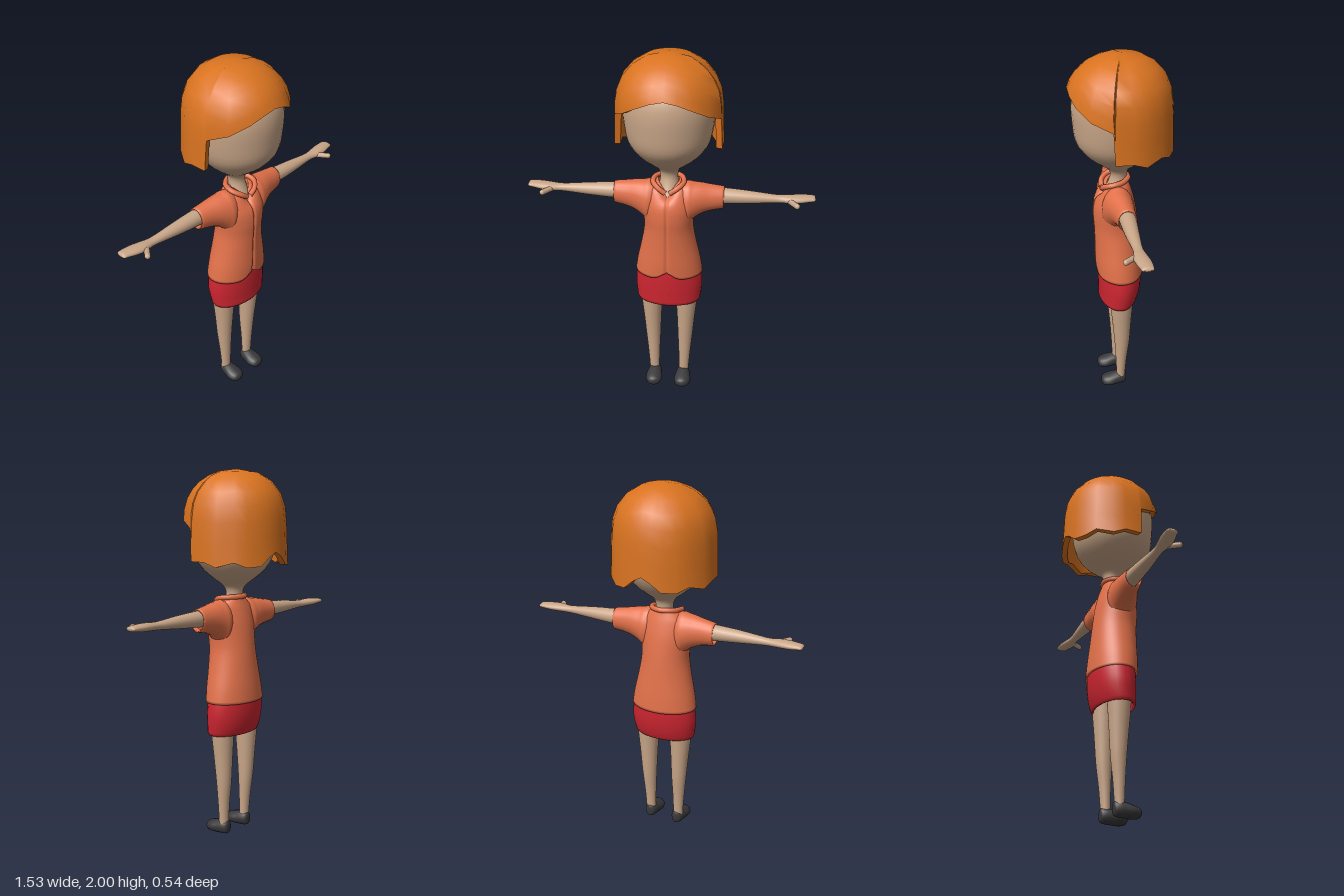
import * as THREE from 'three';
import { mergeVertices, toCreasedNormals } from 'three/addons/utils/BufferGeometryUtils.js';

const TAU = Math.PI * 2;
const paint = (color) => new THREE.MeshStandardMaterial({ color, side: THREE.DoubleSide });
const evenAngles = (n) => Array.from({ length: n }, (_, i) => (i / n) * TAU);

// Resample a few key rows into n smooth rows
function smoothRows(keys, n) {
  const curves = keys[0].map((_, c) => new THREE.SplineCurve(keys.map((k, i) => new THREE.Vector2(i, k[c]))));
  return Array.from({ length: n + 1 }, (_, i) => curves.map((c) => c.getPoint(i / n).y));
}

// Skin closed rings of [x, y, z] points; winding is corrected by signed volume
function loft(rings) {
  const n = rings[0].length, index = [];
  for (let r = 0; r < rings.length - 1; r++) {
    for (let i = 0; i < n; i++) {
      const a = r * n + i, b = r * n + ((i + 1) % n);
      index.push(a, b, b + n, a, b + n, a + n);
    }
  }
  const pts = rings.flat().map((p) => new THREE.Vector3(...p));
  const mid = pts.reduce((s, p) => s.add(p), new THREE.Vector3()).divideScalar(pts.length);
  let volume = 0;
  const cross = new THREE.Vector3();
  for (let i = 0; i < index.length; i += 3) {
    const [a, b, c] = [0, 1, 2].map((k) => pts[index[i + k]].clone().sub(mid));
    volume += a.dot(cross.crossVectors(b, c));
  }
  if (volume < 0) index.reverse();
  const geo = new THREE.BufferGeometry().setFromPoints(pts);
  geo.setIndex(index);
  const merged = mergeVertices(geo, 1e-5);
  merged.computeVertexNormals();
  return merged;
}

// Horizontal oval [y, half width, front z, back z]
const ovalY = ([y, rx, zf, zb], cx = 0, angles = evenAngles(32)) => angles.map((a) => [
  cx + Math.sin(a) * rx, y, (zf + zb) / 2 + Math.cos(a) * (zf - zb) / 2]);

// Sideways oval [x, centre y, centre z, half height, half depth]
const ovalX = ([x, cy, cz, ry, rz], s) => evenAngles(20).map((a) => [
  s * x, cy + Math.sin(a) * ry, cz + Math.cos(a) * rz]);

function shirtBody() {
  const angles = [...evenAngles(48), 0.045, TAU - 0.045].sort((a, b) => a - b);
  const rows = smoothRows([
    [0.77, 0.185, 0.145, -0.115], [0.85, 0.172, 0.148, -0.11], [0.95, 0.15, 0.148, -0.1],
    [1.05, 0.133, 0.15, -0.09], [1.13, 0.135, 0.155, -0.08], [1.2, 0.14, 0.148, -0.068],
    [1.27, 0.125, 0.12, -0.05], [1.31, 0.09, 0.095, -0.037], [1.335, 0.055, 0.08, -0.03]], 32);
  rows.unshift([0.775, 0.172, 0.132, -0.102]);
  return loft(rows.map((row) => ovalY(row, 0, angles).map(([x, y, z], i) => {
    if (Math.cos(angles[i]) <= 0) return [x, y, z];
    // hem notch, neck opening and front seam
    const notch = 0.04 * Math.exp(-((x / 0.045) ** 2)) * Math.max(0, 1 - (row[0] - 0.77) / 0.1);
    const dip = 0.06 * Math.exp(-((x / 0.04) ** 2)) * THREE.MathUtils.smoothstep(y, 1.2, 1.335);
    return [x, y + notch - dip, z - (i === 0 ? 0.012 : 0)];
  })));
}

// Bobbed hair: domed shell whose lower edge height depends on the angle from the front
function hairShell() {
  const hem = [[0, 1.835], [14, 1.82], [30, 1.785], [50, 1.735], [73, 1.695], [75, 1.53], [94, 1.53],
    [108, 1.505], [128, 1.53], [142, 1.505], [158, 1.51], [170, 1.555], [180, 1.58]];
  const edge = [...hem, ...hem.slice(1, -1).reverse().map(([a, y]) => [360 - a, y])];
  const radius = (y, a) => {
    const u = Math.max(0, (y - 1.73) / 0.27);
    const dome = 0.272 * Math.pow(Math.max(0, 1 - u ** 2.2), 1 / 2.2);
    const flare = Math.max(0, 1.73 - y) * 0.04;
    const fringe = 0.015 * Math.max(0, Math.cos(a)) * Math.min(1, (2 - y) / 0.12);
    const nape = 0.012 * Math.max(0, -Math.cos(a)) * Math.min(1, (2 - y) / 0.2);
    return dome + flare + fringe - nape;
  };
  const row = (t, thick) => edge.map(([deg, low]) => {
    const a = THREE.MathUtils.degToRad(deg), y = 2 - (2 - low) * t * t;
    const r = Math.max(0, radius(y, a) - thick);
    return [Math.sin(a) * r, y - thick * (1 - t), Math.cos(a) * r];
  });
  const steps = [0, 0.2, 0.35, 0.5, 0.62, 0.75, 0.88, 1];
  return toCreasedNormals(loft([...steps.map((t) => row(t, 0)), ...steps.slice().reverse().map((t) => row(t, 0.032))]), 0.8);
}

export function createModel() {
  const model = new THREE.Group();
  const skin = paint(0xc9a688), cloth = paint(0xe2714a), red = paint(0xcc2530);
  const hair = paint(0xd97320), dark = paint(0x38383a);
  const add = (name, geo, mat) => {
    const mesh = new THREE.Mesh(geo, mat);
    mesh.name = name;
    model.add(mesh);
  };

  // Head and neck
  add('headAndNeck', loft(smoothRows([
    [1.25, 0.06, 0.1, -0.02], [1.3, 0.052, 0.075, -0.03], [1.35, 0.046, 0.06, -0.028],
    [1.39, 0.06, 0.075, -0.04], [1.43, 0.11, 0.125, -0.09], [1.48, 0.165, 0.185, -0.15],
    [1.55, 0.21, 0.235, -0.19], [1.65, 0.23, 0.25, -0.21], [1.75, 0.235, 0.253, -0.215],
    [1.83, 0.215, 0.232, -0.2], [1.9, 0.16, 0.17, -0.15], [1.94, 0, 0.01, 0.01]], 36).map((r) => ovalY(r))), skin);
  add('hair', hairShell(), hair);

  // Shirt
  add('shirtBody', shirtBody(), cloth);
  const collarPath = new THREE.CatmullRomCurve3([
    [-0.012, 1.278, 0.105], [-0.05, 1.305, 0.1], [-0.08, 1.325, 0.06], [-0.065, 1.333, 0], [0, 1.335, -0.033],
    [0.065, 1.333, 0], [0.08, 1.325, 0.06], [0.05, 1.305, 0.1], [0.012, 1.278, 0.105],
  ].map((p) => new THREE.Vector3(...p)));
  add('collar', new THREE.TubeGeometry(collarPath, 48, 0.014, 8), cloth);

  // Skirt, hollow underneath
  const skirt = smoothRows([[0.82, 0.165, 0.125, -0.1], [0.77, 0.178, 0.13, -0.105], [0.7, 0.185, 0.131, -0.103],
    [0.64, 0.181, 0.13, -0.093], [0.6, 0.176, 0.13, -0.08]], 12);
  skirt.push([0.588, 0.17, 0.124, -0.074], [0.592, 0.158, 0.112, -0.064], [0.75, 0.155, 0.11, -0.08], [0.75, 0, 0, 0]);
  add('skirt', loft(skirt.map((r) => ovalY(r))), red);

  for (const s of [1, -1]) {
    const side = s > 0 ? 'left' : 'right';

    // Sleeve with a turned-in cuff
    const sleeve = smoothRows([[0.05, 1.2, 0.035, 0.11, 0.07], [0.1, 1.2, 0.035, 0.122, 0.085],
      [0.13, 1.212, 0.033, 0.104, 0.08], [0.17, 1.224, 0.028, 0.087, 0.07],
      [0.22, 1.229, 0.022, 0.073, 0.059], [0.29, 1.23, 0.016, 0.061, 0.05]], 20);
    sleeve.push([0.289, 1.23, 0.016, 0.052, 0.043], [0.26, 1.23, 0.016, 0.05, 0.042]);
    add(side + 'Sleeve', loft(sleeve.map((r) => ovalX(r, s))), cloth);

    // Arm and flat hand
    add(side + 'Arm', loft(smoothRows([[0.2, 1.238, 0.016, 0.046, 0.044], [0.3, 1.239, 0.016, 0.042, 0.043],
      [0.42, 1.239, 0.017, 0.034, 0.036], [0.54, 1.238, 0.016, 0.023, 0.026], [0.59, 1.238, 0.015, 0.02, 0.026],
      [0.64, 1.24, 0.016, 0.021, 0.036], [0.69, 1.242, 0.01, 0.02, 0.038], [0.735, 1.244, 0.004, 0.016, 0.033],
      [0.758, 1.244, 0.003, 0.012, 0.029], [0.765, 1.244, 0.003, 0, 0.015]], 36).map((r) => ovalX(r, s))), skin);
    const thumb = new THREE.CapsuleGeometry(0.015, 0.07, 6, 12);
    thumb.rotateX(Math.PI / 2).rotateY(s * 0.62).translate(s * 0.648, 1.236, 0.06);
    add(side + 'Thumb', thumb, skin);

    // Leg
    add(side + 'Leg', loft(smoothRows([[0.76, 0.07, 0.085, -0.06], [0.58, 0.06, 0.077, -0.047],
      [0.45, 0.05, 0.066, -0.038], [0.32, 0.042, 0.055, -0.03], [0.2, 0.034, 0.048, -0.016],
      [0.1, 0.029, 0.044, -0.008], [0.05, 0.028, 0.043, -0.007]], 20)
      .map((r) => ovalY(r, s * (0.085 + 0.014 * Math.min(1, r[0] / 0.6)), evenAngles(24)))), skin);

    // Shoe: upright sections from heel to toe [z, half width, bottom, top]
    const shoe = smoothRows([[-0.014, 0, 0.045, 0.055], [-0.01, 0.024, 0.016, 0.082], [0.015, 0.036, 0.008, 0.09],
      [0.045, 0.042, 0.006, 0.086], [0.08, 0.049, 0.005, 0.076], [0.11, 0.043, 0.007, 0.067],
      [0.128, 0.028, 0.015, 0.057], [0.135, 0, 0.035, 0.04]], 18);
    add(side + 'Shoe', loft(shoe.map(([z, rx, lo, hi]) => evenAngles(16).map((a) => [
      s * 0.084 + Math.cos(a) * Math.max(0, rx), (lo + hi) / 2 + Math.sin(a) * (hi - lo) / 2, z]))), dark);
  }
  return model;
}
